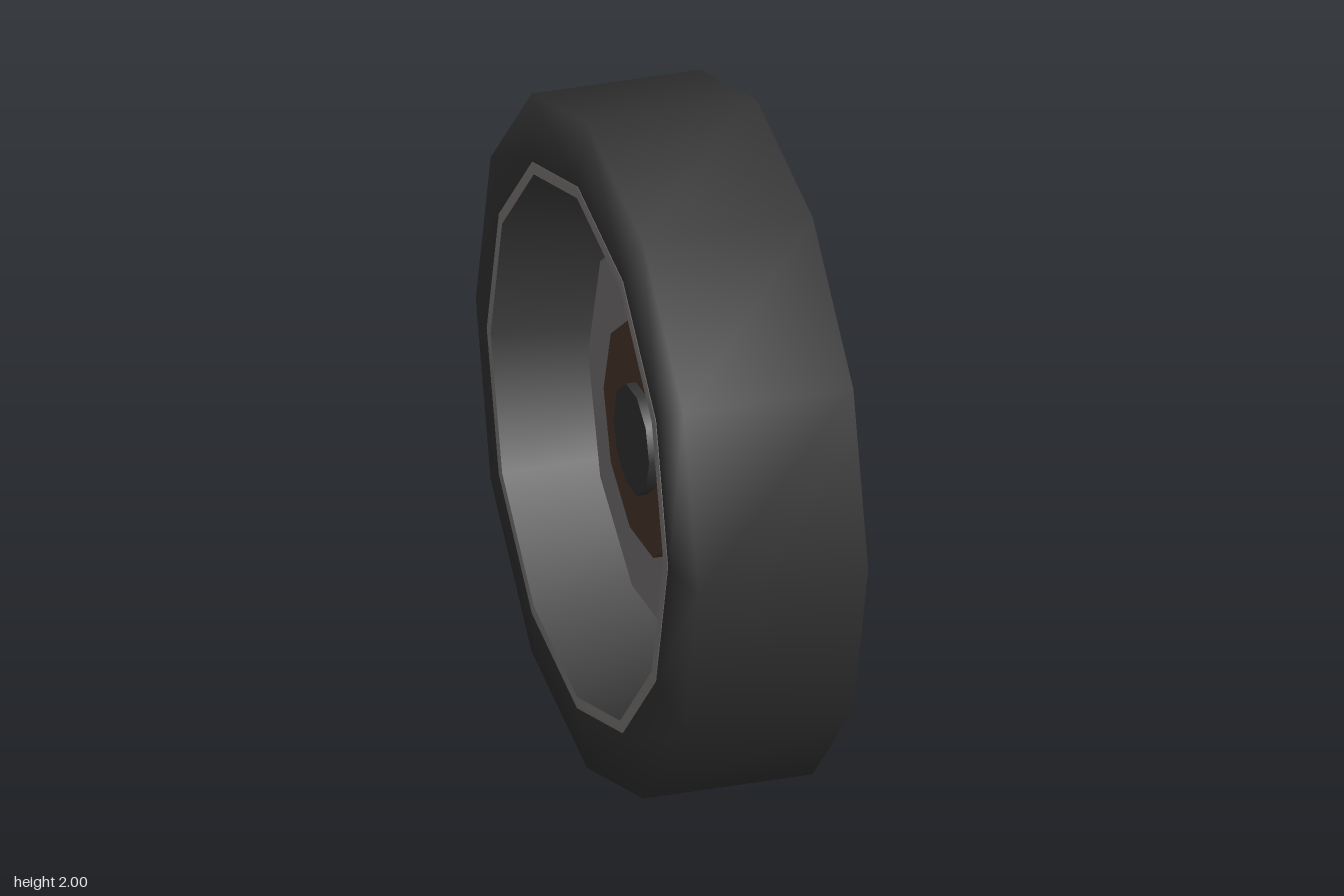
import * as THREE from 'three';

const mat = (name, color, side = THREE.FrontSide) => {
  const m = new THREE.MeshStandardMaterial({ color, side });
  m.name = name;
  return m;
};

export function createModel() {
  const rubber = mat('dark rubber', 0x343434);
  const alloy = mat('grey alloy', 0x827e7c);
  const steel = mat('disc steel', 0x7a7779);
  const barrelGrey = mat('barrel dark grey', 0x3c3c3c);
  const rust = mat('rusty brown', 0x4b3a2d);

  // Built with the axle along local z, then turned so the outer face looks to +x
  const wheel = new THREE.Group();
  wheel.name = 'wheel';
  wheel.rotation.y = Math.PI / 2;
  wheel.position.y = 1;

  const add = (name, geometry, material, parent = wheel) => {
    const mesh = new THREE.Mesh(geometry, material);
    mesh.name = name;
    parent.add(mesh);
    return mesh;
  };
  // Ring from [radius, axle position] pairs
  const ring = (points, sides, start = 0) =>
    new THREE.LatheGeometry(points.map(p => new THREE.Vector2(...p)), sides, start).rotateX(Math.PI / 2);
  // Ten-sided disc between two axle positions
  const disc = (r, back, front) =>
    new THREE.CylinderGeometry(r, r, front - back, 10, 1, false, Math.PI / 2)
      .rotateX(Math.PI / 2).translate(0, 0, (back + front) / 2);

  // Tyre, rim lips and barrel
  add('tyre', ring([[0.81, -0.277], [0.82, -0.277], [1, -0.25], [1, 0.25], [0.82, 0.277], [0.81, 0.277]], 12), rubber);
  add('frontLip', ring([[0.81, 0.275], [0.81, 0.28], [0.775, 0.28]], 12), alloy);
  add('rimBand', ring([[0.775, 0.28], [0.68, 0.2]], 12), alloy);
  add('barrel', ring([[0.68, 0.2], [0.775, -0.28]], 12), barrelGrey);
  add('backLip', ring([[0.775, -0.28], [0.81, -0.28], [0.81, -0.275]], 12), alloy);

  // Brake disc, drum and axle end
  add('brakeDisc', disc(0.57, -0.06, -0.04), steel);
  add('brakeDrum', disc(0.34, -0.09, 0.1), rust);
  add('axleCap', disc(0.16, -0.12, -0.08), rubber);

  // Five-sided hub: rounded skirt, face with lug holes, floor behind the holes
  const hub = new THREE.Group();
  hub.name = 'hub';
  wheel.add(hub);
  add('hubSkirt', ring([[0, 0.08], [0.435, 0.08], [0.435, 0.195], [0.32, 0.23]], 5, -Math.PI / 2), alloy, hub);
  add('holeFloor', ring([[0.34, 0.19], [0, 0.19]], 5, -Math.PI / 2), alloy, hub);

  const angles = [0, 1, 2, 3, 4].map(i => Math.PI + i * Math.PI * 2 / 5);
  const polar = (r, a) => new THREE.Vector2(r * Math.cos(a), r * Math.sin(a));
  const face = new THREE.Shape(angles.map(a => polar(0.32, a)));
  for (const a of angles) {
    const corners = [0, 1, 2, 3].map(k => polar(0.05, a + 0.08 - k * Math.PI / 2).add(polar(0.19, a)));
    face.holes.push(new THREE.Path(corners));
  }
  add('hubFace', new THREE.ExtrudeGeometry(face, { depth: 0.04, bevelEnabled: false }).translate(0, 0, 0.19), alloy, hub);

  // Five pairs of six-sided spokes, leaning outwards to the rim
  const spokeProfile = [[0, 0], [0.058, 0], [0.058, 0.345], [0.028, 0.39], [0, 0.39]]
    .map(p => new THREE.Vector2(...p));
  const spokeGeometry = new THREE.LatheGeometry(spokeProfile, 6, Math.PI / 6)
    .rotateX(0.2).rotateZ(-Math.PI / 2);
  for (const a of angles) {
    const pair = new THREE.Group();
    pair.name = 'spokePair';
    pair.rotation.z = a;
    wheel.add(pair);
    for (const side of [-1, 1]) {
      add('spoke', spokeGeometry, alloy, pair).position.set(0.305, side * 0.085, 0.135);
    }
  }

  const model = new THREE.Group();
  model.name = 'model';
  model.add(wheel);
  return model;
}
